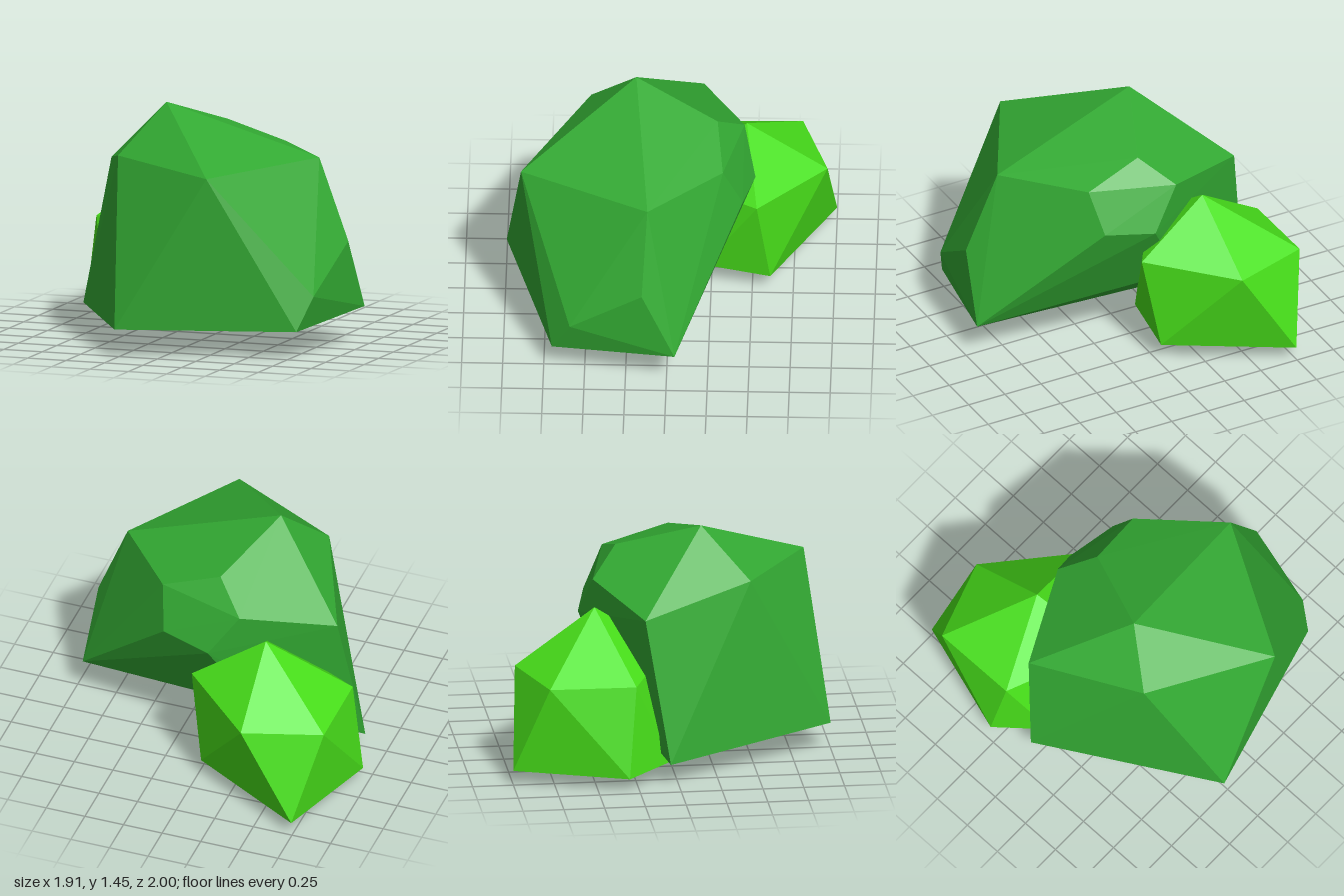
import * as THREE from 'three';
import { ConvexGeometry } from 'three/addons/geometries/ConvexGeometry.js';

// A faceted clump of leaves: the convex shell around a few corner points
function clump(name, color, corners) {
  const points = corners.map(([x, y, z]) => new THREE.Vector3(x, y, z));
  const material = new THREE.MeshStandardMaterial({ color, flatShading: true });
  const mesh = new THREE.Mesh(new ConvexGeometry(points), material);
  mesh.name = name;
  return mesh;
}

export function createModel() {
  const model = new THREE.Group();
  model.name = 'bush';

  model.add(clump('largeClump', 0x33aa33, [
    // crown
    [-0.24, 1.45, 0.21], [-0.03, 1.28, -0.29], [0.72, 1.15, 0.12],
    [0.28, 1.11, 0.9], [-0.45, 1.15, 0.49], [-0.75, 1.02, -0.19],
    // back shoulder
    [0.33, 1.16, -0.33], [-0.21, 1.12, -0.45], [0.28, 0.9, -0.45], [-0.03, 0.86, -0.52],
    // sides
    [0.92, 0.65, 0.15], [0.86, 0.37, 0.59], [0.68, 0.3, -0.115], [-0.28, 0.415, -0.35],
    // base
    [0.95, 0.22, -0.05], [0.79, 0.165, 0.7], [-0.28, 0.165, 1],
    [-0.88, 0.135, -0.05], [0.1, 0.11, 0.12],
  ]));

  model.add(clump('smallClump', 0x48e01a, [
    // top corner
    [-0.385, 1, -0.46],
    // upper ring
    [0.07, 0.69, -0.53], [-0.4, 0.65, -0.95], [-0.88, 0.645, -0.79],
    [-0.875, 0.64, -0.26], [-0.26, 0.67, 0],
    // lower ring
    [-0.02, 0.11, -0.61], [-0.745, 0.09, -1], [-0.96, 0.08, -0.31],
    [-0.73, 0.11, -0.025], [-0.06, 0.16, -0.2],
    // bottom corner
    [-0.56, 0, -0.53],
  ]));

  return model;
}
